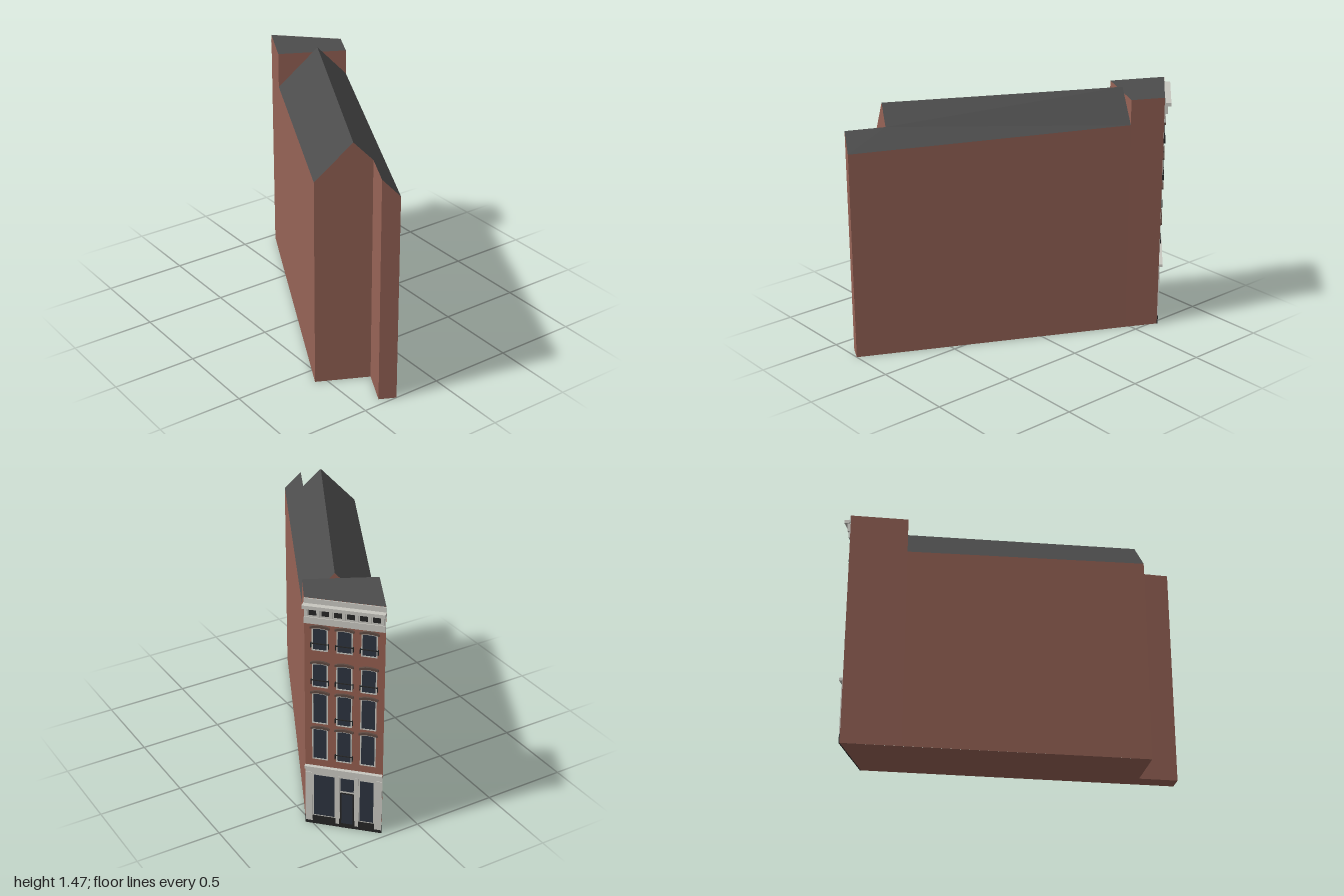
import * as THREE from 'three';

const mat = (name, color) => {
  const m = new THREE.MeshStandardMaterial({ color });
  m.name = name;
  return m;
};

export function createModel() {
  const brick = mat('brick', 0x986457);
  const frontBrick = mat('front brick', 0x945d4f);
  const slate = mat('roof slate', 0x4c4c4c);
  const stone = mat('pale stone', 0xc8c7c0);
  const glass = mat('window glass', 0x2c333e);
  const iron = mat('black iron', 0x262626);
  const hoodBrown = mat('window hood', 0x5e4a42);

  const model = new THREE.Group();
  model.name = 'townhouse';

  // Flat polygons, each fanned from its first corner
  const polygons = (name, material, faces) => {
    const pos = [];
    for (const f of faces)
      for (let i = 1; i < f.length - 1; i++) pos.push(...f[0], ...f[i], ...f[i + 1]);
    const g = new THREE.BufferGeometry();
    g.setAttribute('position', new THREE.Float32BufferAttribute(pos, 3));
    g.computeVertexNormals();
    const mesh = new THREE.Mesh(g, material);
    mesh.name = name;
    model.add(mesh);
  };

  // Plan corners (x, z) and heights
  const at = (x, z) => (y) => [x, y, z];
  const A = at(-0.963, -0.217), B = at(-0.653, -0.527);     // street front
  const K = at(-0.66, -0.066), M = at(-0.473, -0.436);      // rear of the front block
  const F = at(0.609, 0.562), E = at(0.748, 0.275);         // rear gable
  const D = at(0.955, 0.376), C = at(1.0, 0.285);           // rear extension
  const R0 = [-0.552, 1.465, -0.28], R1 = [0.701, 1.465, 0.373]; // ridge ends
  const top = 1.435, kE = 1.22, fE = 1.25, mE = 1.285, cE = 1.245, dE = 1.35, eE = 1.355;

  polygons('brickWalls', brick, [
    [A(0), K(0), K(top), A(top)],
    [K(0), F(0), F(fE), K(kE)],
    [F(0), E(0), E(eE), R1, F(fE)],
    [E(0), D(0), D(dE), E(eE)],
    [D(0), C(0), C(cE), D(dE)],
    [C(0), M(0), M(mE), C(cE)],
    [M(0), B(0), B(top), M(top)],
    [K(kE), M(mE), M(top), K(top)],
    [M(mE), K(kE), R0],
  ]);
  polygons('underside', brick, [[E(0), F(0), A(0), B(0), C(0), D(0)]]);
  polygons('streetWall', frontBrick, [[B(0), A(0), A(top), B(top)]]);
  polygons('pitchedRoof', slate, [
    [K(kE), F(fE), R1, R0],
    [E(eE), D(dE), C(cE), M(mE), R0, R1],
  ]);
  polygons('flatRoof', slate, [[A(top), K(top), M(top), B(top)]]);

  // Street front: local x runs along the wall, local z points outward
  const W = 0.438;
  const front = new THREE.Group();
  front.name = 'streetFront';
  front.position.set(-0.653, 0, -0.527);
  front.rotation.y = -Math.PI * 0.75;
  model.add(front);

  const add = (name, geometry, material, x = 0, y = 0, z = 0) => {
    const mesh = new THREE.Mesh(geometry, material);
    mesh.name = name;
    mesh.position.set(x, y, z);
    front.add(mesh);
  };
  const box = (name, material, x0, x1, y0, y1, z1, z0 = 0) =>
    add(name, new THREE.BoxGeometry(x1 - x0, y1 - y0, z1 - z0), material,
      (x0 + x1) / 2, (y0 + y1) / 2, (z0 + z1) / 2);

  // Opening with a shallow arched head
  const arched = (w, y0, y1, rise, Type = THREE.Shape) => {
    const s = new Type();
    s.moveTo(-w / 2, y0);
    s.lineTo(w / 2, y0);
    s.lineTo(w / 2, y1 - rise);
    s.quadraticCurveTo(0, y1 + rise, -w / 2, y1 - rise);
    s.closePath();
    return s;
  };
  const extrude = (shape, depth) =>
    new THREE.ExtrudeGeometry(shape, { depth, bevelEnabled: false, curveSegments: 6 });

  const addWindow = (x, y0, y1, rail) => {
    const h = y1 - y0, w = 0.088, rise = 0.004;
    const frame = arched(w, 0, h, rise);
    frame.holes.push(arched(w - 0.014, 0.007, h - 0.007, rise, THREE.Path));
    add('windowFrame', extrude(frame, 0.004), stone, x, y0);
    add('windowGlass', new THREE.ShapeGeometry(arched(w - 0.012, 0.005, h - 0.005, rise), 6),
      glass, x, y0, 0.002);

    // Curved hood over the head
    const a = w / 2 + 0.008, hood = new THREE.Shape();
    hood.moveTo(-a, h - 0.006);
    hood.quadraticCurveTo(0, h + 0.008, a, h - 0.006);
    hood.lineTo(a, h + 0.006);
    hood.quadraticCurveTo(0, h + 0.026, -a, h + 0.006);
    add('windowHood', extrude(hood, 0.012), hoodBrown, x, y0);

    if (!rail) return;
    box('guardRail', iron, x - 0.05, x + 0.05, y0 + 0.044, y0 + 0.049, 0.012, 0.008);
    for (const s of [-1, 1])
      box('railPost', iron, x + s * 0.048 - 0.002, x + s * 0.048 + 0.002, y0 + 0.02, y0 + 0.049, 0.012);
  };

  const rows = [[0.437, 0.64], [0.67, 0.865], [0.9, 1.05], [1.125, 1.265]];
  rows.forEach(([y0, y1], r) => [0.085, 0.219, 0.353].forEach((x, c) =>
    addWindow(x, y0, y1, r > 1 || c === 1)));

  // Main cornice on brackets
  box('architrave', stone, 0, W, 1.287, 1.325, 0.01);
  box('frieze', stone, 0, W, 1.325, 1.385, 0.005);
  box('corniceCrown', stone, -0.004, W + 0.004, 1.385, 1.405, 0.038);
  box('corniceBlocking', stone, 0, W, 1.405, 1.434, 0.006);
  for (let i = 0; i < 7; i++) {
    const x = 0.012 + i * (W - 0.024) / 6;
    box('corniceBracket', stone, x - 0.008, x + 0.008, 1.335, 1.385, 0.02);
    if (i < 6) box('friezePanel', iron, x + 0.014, x + 0.055, 1.338, 1.372, 0.008);
  }

  // Shopfront
  box('shopFrame', stone, 0, W, 0.05, 0.375, 0.003);
  box('shopCornice', stone, 0, W, 0.375, 0.392, 0.022);
  box('signBand', stone, 0.03, W - 0.03, 0.345, 0.375, 0.006);
  box('shopPlinth', iron, 0, W, 0, 0.055, 0.006);
  for (const x of [0.022, 0.185, 0.295, W - 0.022]) {
    const hw = x < 0.1 || x > 0.35 ? 0.02 : 0.01;
    box('shopPier', stone, x - hw, x + hw, 0.02, 0.345, 0.007);
  }
  for (const [x0, x1] of [[0.05, 0.168], [0.312, 0.389]])
    box('shopWindow', glass, x0, x1, 0.062, 0.33, 0.005);
  box('door', iron, 0.201, 0.279, 0, 0.235, 0.007);
  box('doorGlass', glass, 0.208, 0.272, 0.03, 0.228, 0.008);
  box('doorTransom', glass, 0.203, 0.277, 0.247, 0.33, 0.005);

  return model;
}
